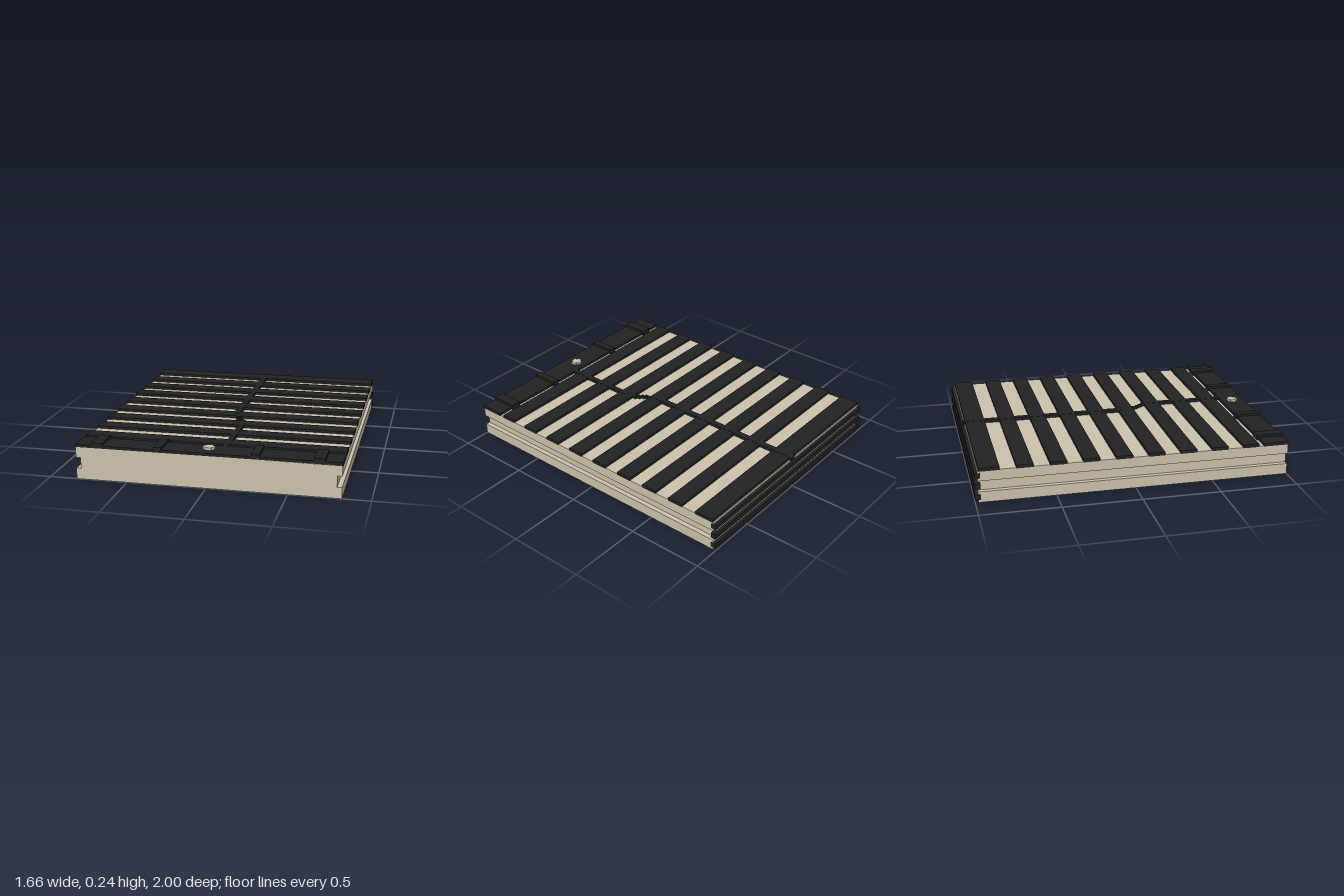
import * as THREE from 'three';

export function createModel() {
  const root = new THREE.Group();
  root.name = 'slattedPanel';
  const beige = new THREE.MeshStandardMaterial({ color: 0xcac0aa });
  beige.name = 'beige';
  const black = new THREE.MeshStandardMaterial({ color: 0x222222 });
  black.name = 'black';

  // box given by its minimum and maximum on each axis
  function box(name, material, [x0, x1], [y0, y1], [z0, z1]) {
    const mesh = new THREE.Mesh(new THREE.BoxGeometry(x1 - x0, y1 - y0, z1 - z0), material);
    mesh.position.set((x0 + x1) / 2, (y0 + y1) / 2, (z0 + z1) / 2);
    mesh.name = name;
    root.add(mesh);
  }

  // body: block with a groove along each side
  const w = 0.825, g = 0.795, h = 0.207;
  const profile = new THREE.Shape([
    [-w, 0], [w, 0], [w, 0.07], [g, 0.07], [g, 0.14], [w, 0.14], [w, h],
    [-w, h], [-w, 0.14], [-g, 0.14], [-g, 0.07], [-w, 0.07],
  ].map(([x, y]) => new THREE.Vector2(x, y)));
  const body = new THREE.Mesh(
    new THREE.ExtrudeGeometry(profile, { depth: 1.98, bevelEnabled: false }), beige);
  body.position.z = -0.98;
  body.name = 'body';
  root.add(body);

  // slats across the top
  const across = [-0.828, 0.828], slatY = [0.203, 0.224];
  box('backSlat', black, across, slatY, [-0.975, -0.845]);
  for (let i = 0; i < 8; i++) {
    const z = -0.745 + i * 0.2063;
    box('slat', black, across, slatY, [z, z + 0.106]);
  }
  box('frontPlate', black, across, slatY, [0.837, 1]);

  // strips across the back
  for (const y of [0.035, 0.105, 0.175]) {
    box('backStrip', black, across, [y - 0.017, y + 0.017], [-1, -0.965]);
  }

  // spine with a stepped jog
  const spineY = [0.2, 0.2255];
  box('spineBack', black, [-0.02, 0.02], spineY, [-0.99, 0.13]);
  const steps = [[0.026, 0.18, 0.222], [0.042, 0.215, 0.243], [0.06, 0.238, 0.266], [0.079, 0.262, 0.29]];
  for (const [x, z0, z1] of steps) {
    box('spineStep', black, [x - 0.01, x + 0.01], spineY, [z0, z1]);
  }
  box('spineFront', black, [0.07, 0.105], spineY, [0.33, 0.85]);

  // raised ribs on the front plate
  for (const s of [-1, 1]) {
    for (const [x, half] of [[0.689, 0.034], [0.302, 0.025]]) {
      box('rib', black, [s * x - half, s * x + half], [0.207, 0.24], [0.825, 1]);
    }
  }

  // cross-shaped button
  box('buttonWide', beige, [-0.035, 0.035], [0.22, 0.24], [0.893, 0.927]);
  box('buttonLong', beige, [-0.02, 0.02], [0.22, 0.2405], [0.878, 0.942]);
  return root;
}
